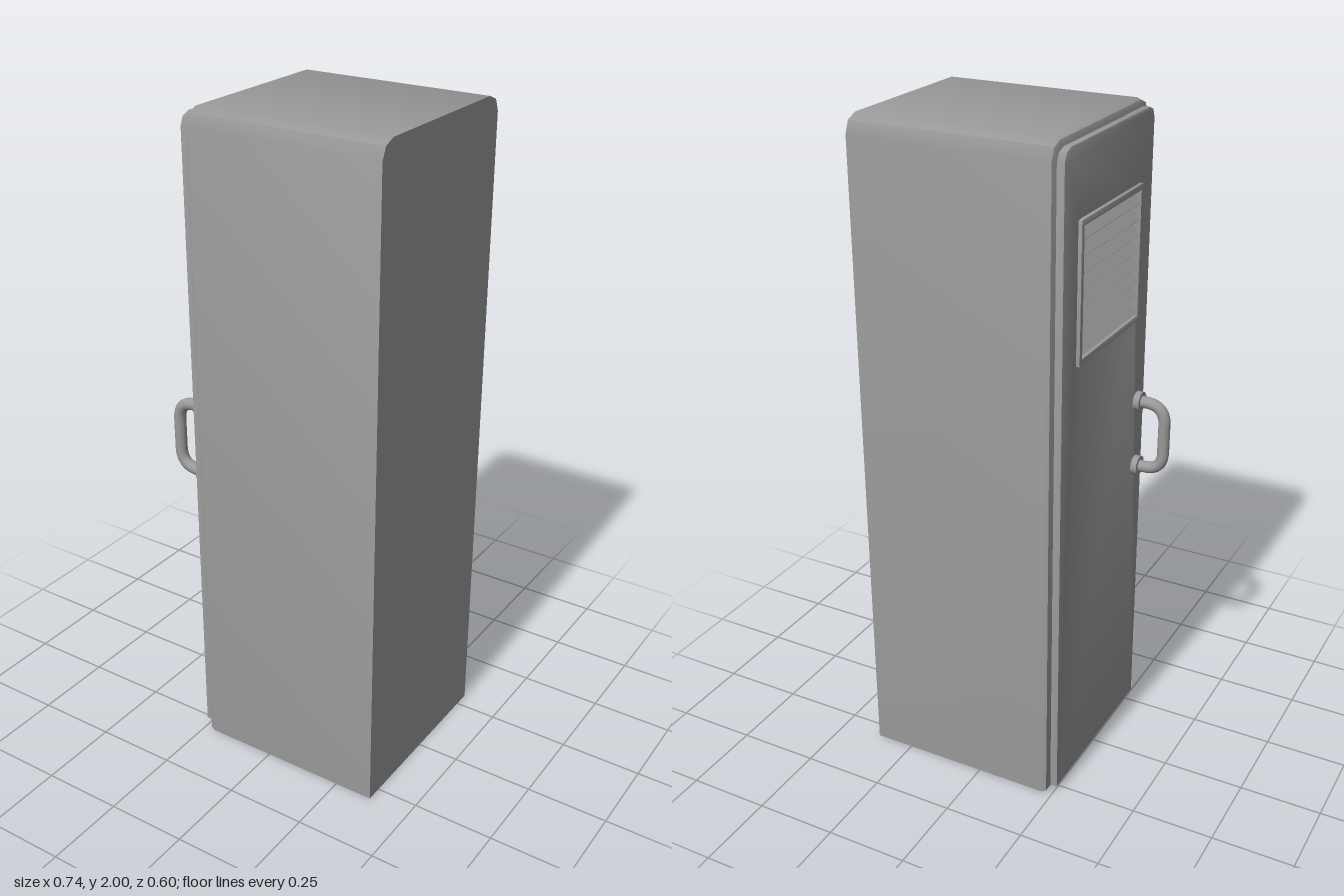
import * as THREE from 'three';
import { toCreasedNormals } from 'three/addons/utils/BufferGeometryUtils.js';

const material = new THREE.MeshStandardMaterial({ color: 0x999999, side: THREE.DoubleSide });

function add(parent, name, geometry, x = 0, y = 0, z = 0) {
  const mesh = new THREE.Mesh(geometry, material);
  mesh.name = name;
  mesh.position.set(x, y, z);
  parent.add(mesh);
  return mesh;
}

// Upright panel outline with two-facet top corners, counter-clockwise
function outline(halfWidth, bottom, top, radius) {
  const points = [new THREE.Vector2(-halfWidth, bottom), new THREE.Vector2(halfWidth, bottom)];
  for (const side of [1, -1]) {
    for (let i = 0; i <= 2; i++) {
      const a = (i / 2 + (side > 0 ? 0 : 1)) * Math.PI / 2;
      points.push(new THREE.Vector2(
        side * (halfWidth - radius) + radius * Math.cos(a),
        top - radius + radius * Math.sin(a)));
    }
  }
  return points;
}

// Skin over matching convex outlines stacked along z, closed at both ends
function loft(sections) {
  const positions = [];
  const index = [];
  const n = sections[0].points.length;
  for (const { points, z } of sections) for (const p of points) positions.push(p.x, p.y, z);
  for (let s = 0; s < sections.length - 1; s++) {
    for (let i = 0; i < n; i++) {
      const a = s * n + i, b = s * n + (i + 1) % n;
      index.push(a, b, b + n, a, b + n, a + n);
    }
  }
  const last = (sections.length - 1) * n;
  for (let i = 1; i < n - 1; i++) {
    index.push(0, i + 1, i);
    index.push(last, last + i, last + i + 1);
  }
  const geometry = new THREE.BufferGeometry();
  geometry.setAttribute('position', new THREE.Float32BufferAttribute(positions, 3));
  geometry.setIndex(index);
  return toCreasedNormals(geometry, 0.6);
}

// Bevelled plate with a rectangular opening, starting at z = 0
function plate(points, opening, depth, bevel) {
  const shape = new THREE.Shape(points);
  const { w, y0, y1 } = opening;
  shape.holes.push(new THREE.Path([
    new THREE.Vector2(-w, y0), new THREE.Vector2(-w, y1),
    new THREE.Vector2(w, y1), new THREE.Vector2(w, y0)]));
  const geometry = new THREE.ExtrudeGeometry(shape, {
    depth: depth - 2 * bevel, bevelThickness: bevel, bevelSize: bevel, bevelOffset: -bevel, bevelSegments: 2 });
  geometry.translate(0, 0, bevel);
  return toCreasedNormals(geometry, 0.6);
}

export function createModel() {
  const model = new THREE.Group();
  model.name = 'locker';

  // Built with the door towards +z, then turned so that it faces -x
  const locker = new THREE.Group();
  locker.name = 'lockerAssembly';
  locker.rotation.y = -Math.PI / 2;
  model.add(locker);

  // Cabinet: square at the rear, two-facet edge around the door side
  const bevel = 0.018;
  const sections = [{ points: outline(0.3, 0, 2, 0.05), z: -0.37 }];
  for (let i = 0; i <= 2; i++) {
    const a = i / 2 * Math.PI / 2;
    const inset = bevel * (1 - Math.cos(a));
    sections.push({
      points: outline(0.3 - inset, inset, 2 - inset, 0.05 - inset),
      z: 0.235 - bevel + bevel * Math.sin(a),
    });
  }
  add(locker, 'cabinet', loft(sections));

  // Door with a vent opening and a narrow seal behind it
  const door = new THREE.Group();
  door.name = 'door';
  locker.add(door);
  const sealOutline = outline(0.277, 0.023, 1.977, 0.035);
  add(door, 'doorSeal', loft([{ points: sealOutline, z: 0.234 }, { points: sealOutline, z: 0.239 }]));
  add(door, 'doorPanel',
    plate(outline(0.28, 0.02, 1.98, 0.035), { w: 0.184, y0: 1.394, y1: 1.766 }, 0.021, 0.003), 0, 0, 0.238);

  // Vent frame and steeply slanted slats
  const vent = new THREE.Group();
  vent.name = 'vent';
  door.add(vent);
  add(vent, 'ventFrame',
    plate(outline(0.198, 1.378, 1.782, 0.006), { w: 0.182, y0: 1.396, y1: 1.764 }, 0.014, 0.002), 0, 0, 0.256);
  const count = 8, pitch = 0.368 / count;
  for (let i = 0; i < count; i++) {
    const slat = add(vent, 'ventSlat', new THREE.BoxGeometry(0.366, 0.042, 0.006),
      0, 1.396 + pitch * (i + 0.5), 0.252);
    slat.rotation.x = -0.75;
  }

  // Bent tube handle on two round feet
  const handle = new THREE.Group();
  handle.name = 'handle';
  handle.position.set(0.228, 1.001, 0.258);
  door.add(handle);
  const reach = 0.094, half = 0.107, bend = 0.06;
  const v = (y, z) => new THREE.Vector3(0, y, z);
  const path = new THREE.CurvePath();
  path.add(new THREE.LineCurve3(v(-half, 0), v(-half, reach - bend)));
  path.add(new THREE.QuadraticBezierCurve3(v(-half, reach - bend), v(-half, reach), v(-half + bend, reach)));
  path.add(new THREE.LineCurve3(v(-half + bend, reach), v(half - bend, reach)));
  path.add(new THREE.QuadraticBezierCurve3(v(half - bend, reach), v(half, reach), v(half, reach - bend)));
  path.add(new THREE.LineCurve3(v(half, reach - bend), v(half, 0)));
  add(handle, 'handleGrip', new THREE.TubeGeometry(path, 48, 0.018, 16));
  for (const side of [-1, 1]) {
    const foot = new THREE.CylinderGeometry(0.03, 0.03, 0.02, 24).rotateX(Math.PI / 2);
    add(handle, 'handleFoot', foot, 0, side * half, 0.01);
  }

  return model;
}
